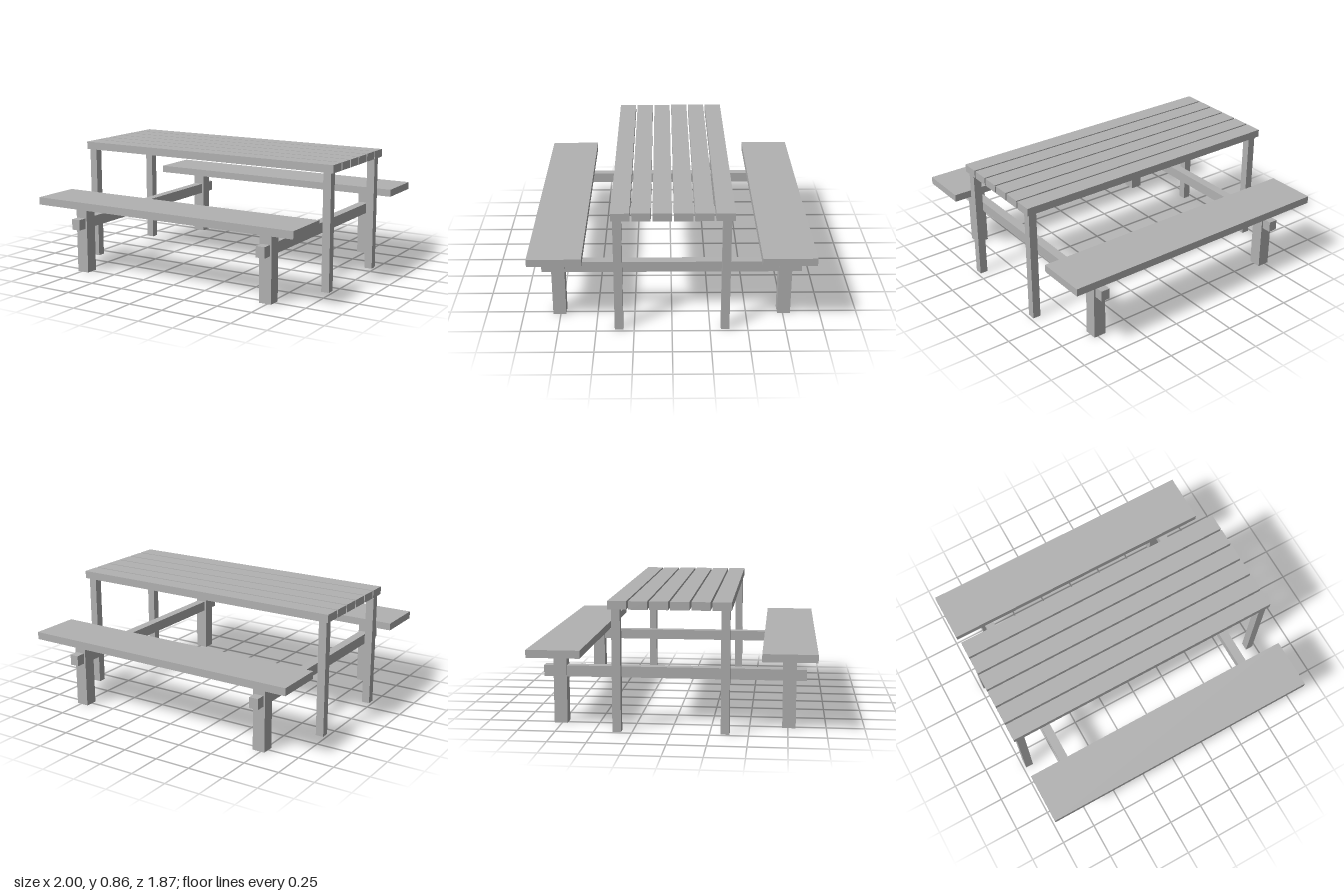
import * as THREE from 'three';

export function createModel() {
  const group = new THREE.Group();
  const wood = new THREE.MeshStandardMaterial({ color: 0xb2b2b2 });
  wood.name = 'plainGrey';

  // Box with its underside at y = bottom
  function addBox(name, width, height, depth, x, bottom, z) {
    const mesh = new THREE.Mesh(new THREE.BoxGeometry(width, height, depth), wood);
    mesh.name = name;
    mesh.position.set(x, bottom + height / 2, z);
    group.add(mesh);
  }

  // Table top: six slats with narrow gaps
  for (let i = 0; i < 6; i++) {
    addBox('tableSlat', 2, 0.054, 0.121, 0, 0.802, 0.328 - i * 0.1332);
  }

  // Bench seats, front and back
  for (const z of [0.757, -0.757]) addBox('benchSeat', 2, 0.052, 0.352, 0, 0.481, z);

  for (const side of [-1, 1]) {
    // Cross beam running through both bench legs
    addBox('crossBeam', 0.064, 0.074, 1.734, side * 0.735, 0.315, 0);
    for (const end of [-1, 1]) {
      addBox('tableLeg', 0.056, 0.802, 0.056, side * 0.952, 0, end * 0.35);
      addBox('benchLeg', 0.088, 0.481, 0.088, side * 0.735, 0, end * 0.757);
    }
  }
  return group;
}
